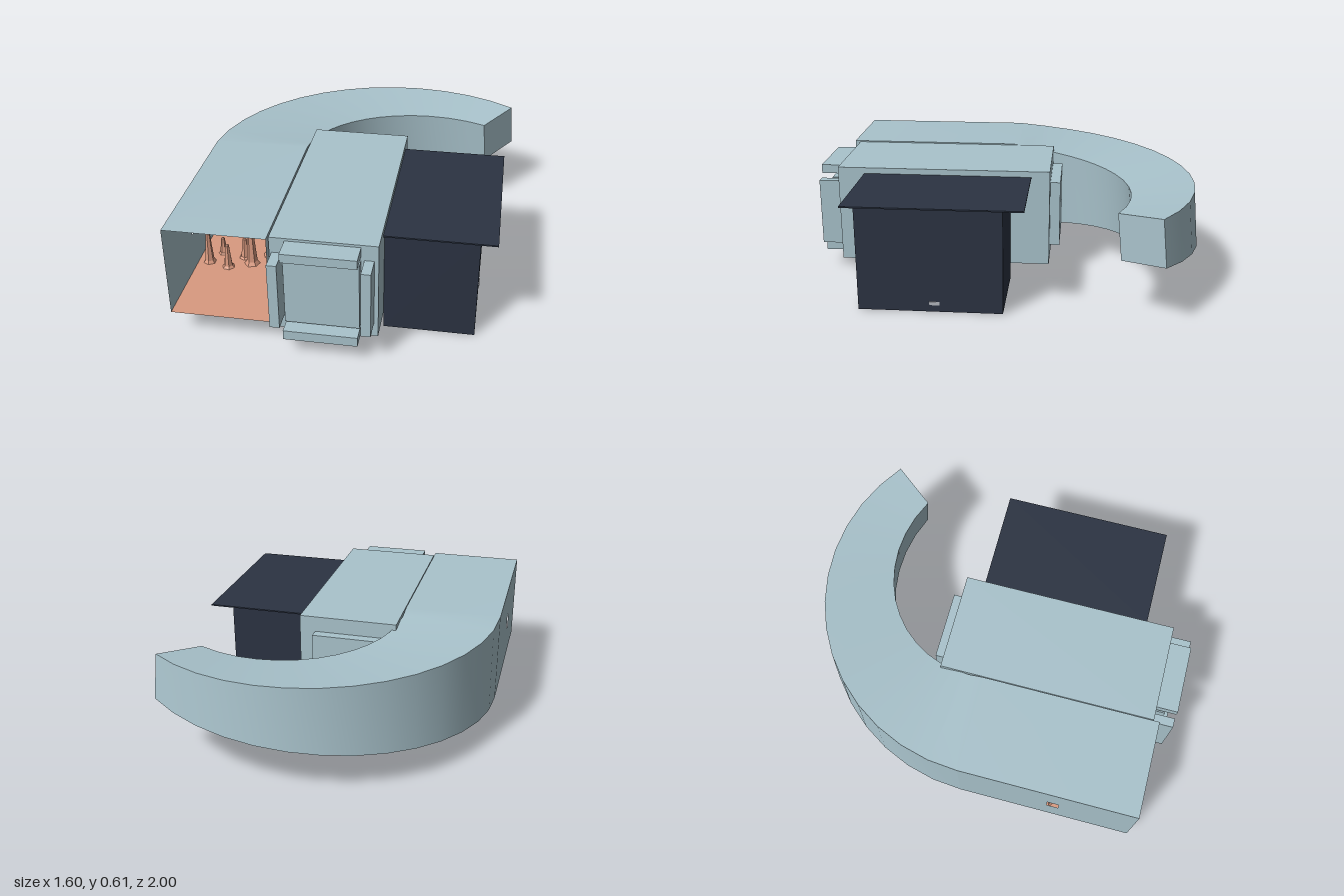
import * as THREE from 'three';

export function createModel() {
  const model = new THREE.Group();
  const mat = (name, color, side = THREE.FrontSide) => {
    const m = new THREE.MeshStandardMaterial({ color, side });
    m.name = name;
    return m;
  };
  const paleBlue = mat('pale blue', 0xa9c3cc, THREE.DoubleSide);
  const salmon = mat('salmon', 0xd99a80, THREE.DoubleSide);
  const navy = mat('navy', 0x2b3342, THREE.DoubleSide);
  const grey = mat('label grey', 0xb4b8be);

  const add = (name, geometry, material) => {
    const mesh = new THREE.Mesh(geometry, material);
    mesh.name = name;
    model.add(mesh);
    return mesh;
  };
  // Box given by its limits on each axis
  const box = (name, material, x0, x1, y0, y1, z0, z1) =>
    add(name, new THREE.BoxGeometry(x1 - x0, y1 - y0, z1 - z0), material)
      .position.set((x0 + x1) / 2, (y0 + y1) / 2, (z0 + z1) / 2);

  // Tunnel cross-sections: corners are outer bottom, outer top, inner top, inner bottom.
  // The tunnel turns about (0.2, 0) while it narrows, climbs and banks inward.
  const section = (t) => {
    const angle = t * THREE.MathUtils.degToRad(126.9);
    const point = (r, y) => [0.2 - r * Math.cos(angle), y, -r * Math.sin(angle)];
    const inner = 0.5 + 0.245 * Math.pow(t, 1.2);
    const floor = 0.13 + 0.195 * Math.pow(t, 1.3);
    const height = 0.475 - 0.24 * t;
    const tilt = 0.12 * t;
    const drop = (1 - inner) * tilt;
    const lean = height * tilt;
    return [
      point(1, floor), point(1 - lean, floor + height),
      point(inner - lean, floor + height - drop), point(inner, floor - drop),
    ];
  };
  const steps = 14;
  const curve = Array.from({ length: steps + 1 }, (_, i) => section(i / steps));
  const mouth = section(0).map(([x, y]) => [x, y, 0.92]);
  const whole = [mouth, ...curve];

  // Surface between two corner lines of the tunnel
  const strip = (sections, a, b) => {
    const positions = [], index = [];
    sections.forEach((s, i) => {
      positions.push(...s[a], ...s[b]);
      if (i) {
        const k = 2 * i;
        index.push(k - 2, k, k - 1, k - 1, k, k + 1);
      }
    });
    const g = new THREE.BufferGeometry();
    g.setAttribute('position', new THREE.Float32BufferAttribute(positions, 3));
    g.setIndex(index);
    g.computeVertexNormals();
    return g;
  };
  add('tunnelOuterWall', strip(curve, 1, 0), paleBlue);
  add('tunnelRoof', strip(whole, 2, 1), paleBlue);
  add('tunnelInnerWall', strip(whole, 3, 2), paleBlue);
  add('tunnelFloor', strip(whole, 0, 3), salmon);

  // Closed far end
  const end = curve[steps];
  add('tunnelEnd', strip([[end[0], end[1]], [end[3], end[2]]], 1, 0), paleBlue);

  // Straight outer wall with a small peephole
  const wall = new THREE.Shape();
  wall.moveTo(0, 0.13).lineTo(0.92, 0.13).lineTo(0.92, 0.605).lineTo(0, 0.605).closePath();
  const hole = new THREE.Path();
  hole.moveTo(0.47, 0.33).lineTo(0.47, 0.41).lineTo(0.53, 0.41).lineTo(0.53, 0.33).closePath();
  wall.holes.push(hole);
  const wallMesh = add('peepholeWall', new THREE.ShapeGeometry(wall), paleBlue);
  wallMesh.rotation.y = -Math.PI / 2;
  wallMesh.position.x = -0.8;

  // Rock spikes standing on the tunnel floor: x, z, height, radius
  const spikes = [
    [-0.74, 0.47, 0.19, 0.026], [-0.69, 0.38, 0.1, 0.022], [-0.63, 0.5, 0.14, 0.026],
    [-0.565, 0.4, 0.12, 0.026], [-0.515, 0.45, 0.245, 0.032], [-0.435, 0.36, 0.15, 0.032],
    [-0.365, 0.46, 0.06, 0.03],
  ];
  spikes.forEach(([x, z, h, r], i) => {
    const profile = [[1.3, 0], [0.9, 0.08], [0.65, 0.5], [0.45, 0.93], [0, 1]]
      .map(([pr, py]) => new THREE.Vector2(pr * r, py * h));
    const g = new THREE.LatheGeometry(profile, 6).toNonIndexed();
    g.computeVertexNormals();
    const spike = add('rockSpike', g, salmon);
    spike.position.set(x, 0.131, z);
    spike.rotation.y = i * 0.7;
  });

  // Central chamber with front and back panels
  box('chamber', paleBlue, -0.295, 0.22, 0.085, 0.6, -0.23, 0.89);
  box('backPanel', paleBlue, -0.22, 0.138, 0.165, 0.518, -0.283, -0.23);
  box('frontPanel', paleBlue, -0.22, 0.138, 0.165, 0.518, 0.89, 0.945);

  // Four bars framing the front panel
  box('topBar', paleBlue, -0.22, 0.138, 0.54, 0.587, 0.89, 1);
  box('bottomBar', paleBlue, -0.22, 0.138, 0.1, 0.15, 0.89, 1);
  box('rightBar', paleBlue, -0.283, -0.235, 0.165, 0.518, 0.89, 1);
  box('leftBar', paleBlue, 0.153, 0.2, 0.165, 0.518, 0.89, 1);

  // Dark side cabinet with an overhanging thin lid
  box('cabinet', navy, 0.22, 0.675, 0, 0.562, -0.025, 0.702);
  box('cabinetLid', navy, 0.22, 0.756, 0.562, 0.569, -0.133, 0.75);
  box('cabinetLabel', grey, 0.675, 0.679, 0.036, 0.054, 0.29, 0.342);

  return model;
}
